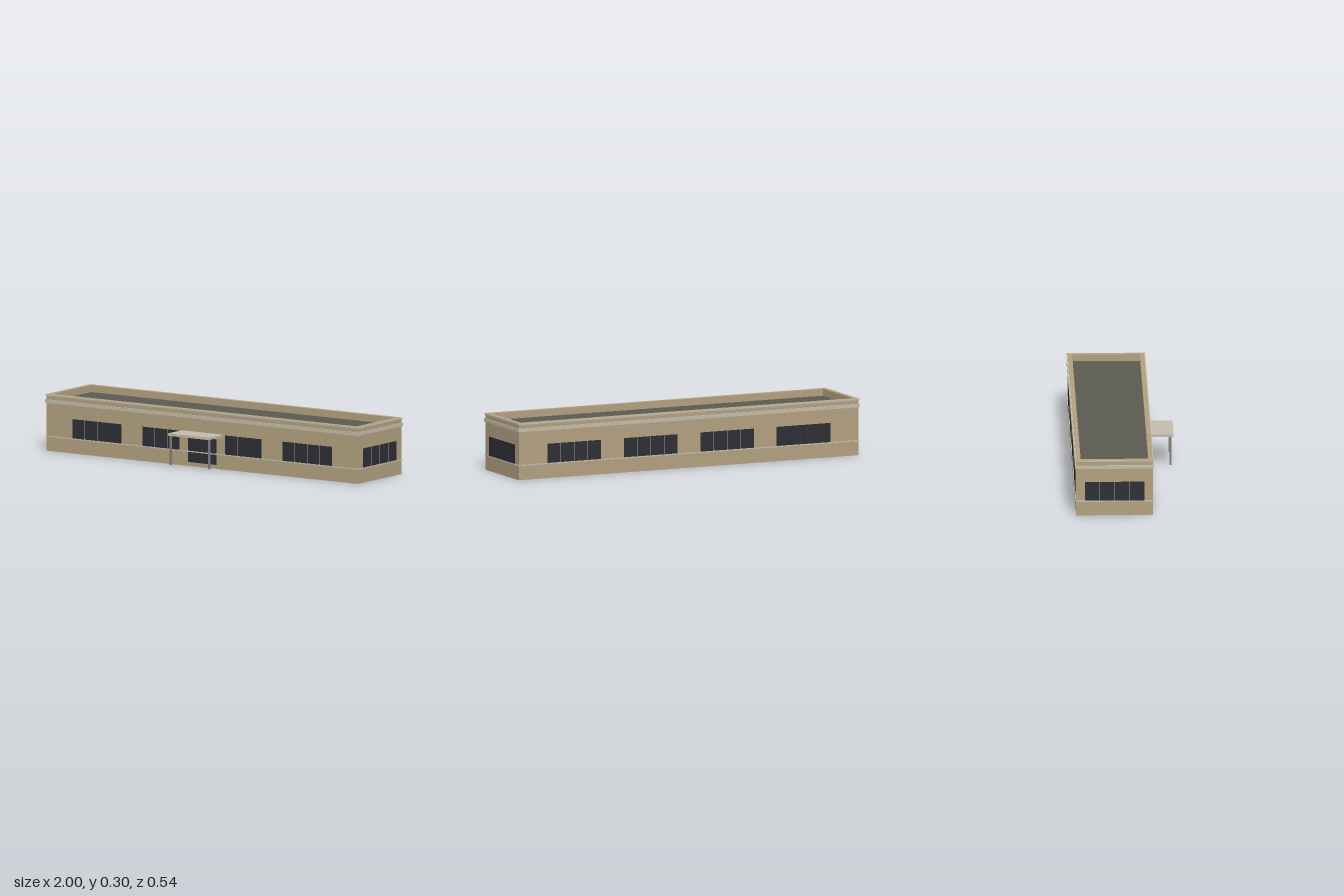
import * as THREE from 'three';

const mat = (name, color, side = THREE.FrontSide) => {
  const m = new THREE.MeshStandardMaterial({ color, side });
  m.name = name;
  return m;
};

export function createModel() {
  const wall = mat('tan wall', 0xb2a180, THREE.DoubleSide);
  const trim = mat('pale trim', 0xc2bcaa);
  const roofing = mat('dark roofing', 0x5a5a50, THREE.DoubleSide);
  const glass = mat('dark glass', 0x2d2d36);
  const steel = mat('grey steel', 0x808080);

  const HX = 0.994, HZ = 0.202, CZ = -0.061; // half sizes and centre of the block
  const ROOF = 0.265, TOP = 0.302;

  const model = new THREE.Group();
  model.name = 'building';
  const block = new THREE.Group();
  block.name = 'block';
  block.position.z = CZ;
  model.add(block);

  const add = (parent, name, geometry, material, x = 0, y = 0, z = 0) => {
    const mesh = new THREE.Mesh(geometry, material);
    mesh.name = name;
    mesh.position.set(x, y, z);
    parent.add(mesh);
    return mesh;
  };

  // Rectangular ring around the block, from 'inset' inside the walls to 'outset' outside
  const ring = (name, material, outset, inset, y0, y1) => {
    const rect = (Type, a, b) => new Type([[-a, -b], [a, -b], [a, b], [-a, b]].map(p => new THREE.Vector2(...p)));
    const shape = rect(THREE.Shape, HX + outset, HZ + outset);
    shape.holes.push(rect(THREE.Path, HX - inset, HZ - inset));
    const g = new THREE.ExtrudeGeometry(shape, { depth: y1 - y0, bevelEnabled: false });
    g.rotateX(-Math.PI / 2);
    add(block, name, g, material, 0, y0, 0);
  };

  // One facade: a wall sheet and glass panels, facing +z before it is turned
  const PITCH = 0.079, PANE = 0.0757, SILL = 0.081, HEAD = 0.183;
  const facade = (name, width, distance, angle, windows) => {
    const side = new THREE.Group();
    side.name = name;
    side.rotation.y = angle;
    block.add(side);
    add(side, 'wall', new THREE.PlaneGeometry(width, ROOF), wall, 0, ROOF / 2, distance);
    for (const [centre, count] of windows)
      for (let i = 0; i < count; i++)
        add(side, 'windowPane', new THREE.BoxGeometry(PANE, HEAD - SILL, 0.002), glass,
          centre + (i - (count - 1) / 2) * PITCH, (SILL + HEAD) / 2, distance + 0.0005);
    return side;
  };

  const bays = [-0.671, -0.2237, 0.2237, 0.671].map(x => [x, 4]);
  const front = facade('frontFacade', HX * 2, HZ, 0, [[-0.671, 4], [-0.263, 3], [0.263, 3], [0.671, 4]]);
  facade('backFacade', HX * 2, HZ, Math.PI, bays);
  facade('leftFacade', HZ * 2, HX, Math.PI / 2, [[0, 4]]);
  facade('rightFacade', HZ * 2, HX, -Math.PI / 2, [[0, 4]]);

  // Entrance door
  add(front, 'door', new THREE.BoxGeometry(0.182, 0.136, 0.002), glass, 0, 0.089, HZ + 0.0005);

  // Roof, parapet and horizontal trim
  add(block, 'roof', new THREE.PlaneGeometry(HX * 2, HZ * 2).rotateX(-Math.PI / 2), roofing, 0, ROOF, 0);
  ring('parapet', wall, 0, 0.024, ROOF + 0.0005, TOP);
  ring('coping', trim, 0.004, 0, 0.294, TOP);
  ring('cornice', trim, 0.006, 0, 0.256, 0.274);
  ring('stringCourse', trim, 0.004, 0, 0.075, 0.081);

  // Entrance canopy on two posts
  const canopy = new THREE.Group();
  canopy.name = 'canopy';
  model.add(canopy);
  add(canopy, 'canopySlab', new THREE.BoxGeometry(0.262, 0.013, 0.129), trim, 0, 0.1795, 0.2055);
  for (const s of [-1, 1])
    add(canopy, 'canopyPost', new THREE.BoxGeometry(0.009, 0.157, 0.009), steel, s * 0.123, 0.0945, 0.2535);

  return model;
}
